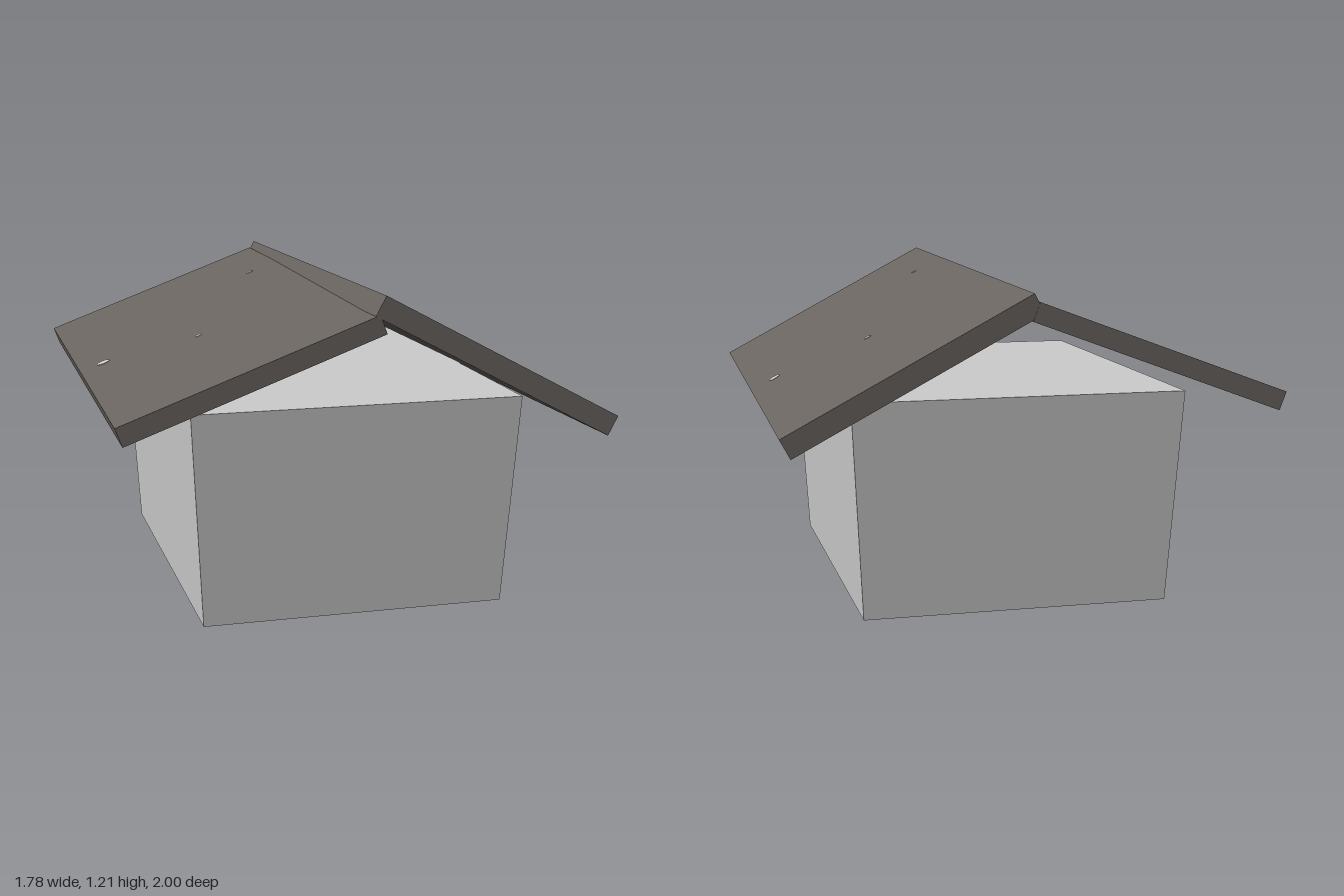
import * as THREE from 'three';

export function createModel() {
  const model = new THREE.Group();
  const wallGrey = new THREE.MeshStandardMaterial({ color: 0xcccccc });
  wallGrey.name = 'wall grey';
  const roofBrown = new THREE.MeshStandardMaterial({ color: 0x69645f });
  roofBrown.name = 'roof brown';

  const add = (parent, geometry, material, name) => {
    const mesh = new THREE.Mesh(geometry, material);
    mesh.name = name;
    parent.add(mesh);
    return mesh;
  };

  // Walls: a box flaring towards the top
  const H = 0.79;
  const wall = new THREE.BoxGeometry(1, H, 1);
  const p = wall.attributes.position;
  for (let i = 0; i < p.count; i++) {
    const top = p.getY(i) > 0;
    p.setX(i, p.getX(i) * (top ? 1.22 : 1.13));
    p.setZ(i, p.getZ(i) * (top ? 1.55 : 1.45));
  }
  wall.computeVertexNormals();
  add(model, wall, wallGrey, 'walls').position.set(0.01, H / 2, 0);

  // Roof slabs, each with small pale spots [x, z, radius] lying on its upper face
  const slabs = [
    { name: 'rightRoofSlab', size: [0.96, 0.07, 1.99], at: [-0.427, 0.945, -0.005], tiltX: 0, tiltZ: 0.356,
      spots: [[-0.8, 0.03, 0.026], [-0.105, -0.49, 0.014], [-0.465, 0.23, 0.013]] },
    { name: 'leftRoofSlab', size: [0.975, 0.078, 1.99], at: [0.442, 0.928, 0], tiltX: -0.018, tiltZ: -0.491,
      spots: [[0.47, -0.25, 0.014], [0.8, -0.04, 0.023], [0.145, 0.48, 0.011]] },
  ];
  for (const { name, size, at, tiltX, tiltZ, spots } of slabs) {
    const slab = new THREE.Group();
    slab.name = name;
    slab.position.set(...at);
    slab.rotation.set(tiltX, 0, tiltZ);
    add(slab, new THREE.BoxGeometry(...size), roofBrown, name + 'Board');
    const top = size[1] / 2;
    for (const [x, z, r] of spots) {
      const along = (x - at[0] + top * Math.sin(tiltZ)) / Math.cos(tiltZ);
      add(slab, new THREE.CylinderGeometry(r, r, 0.004, 10), wallGrey, 'roofSpot')
        .position.set(along, top, z - at[2]);
    }
    model.add(slab);
  }
  return model;
}
